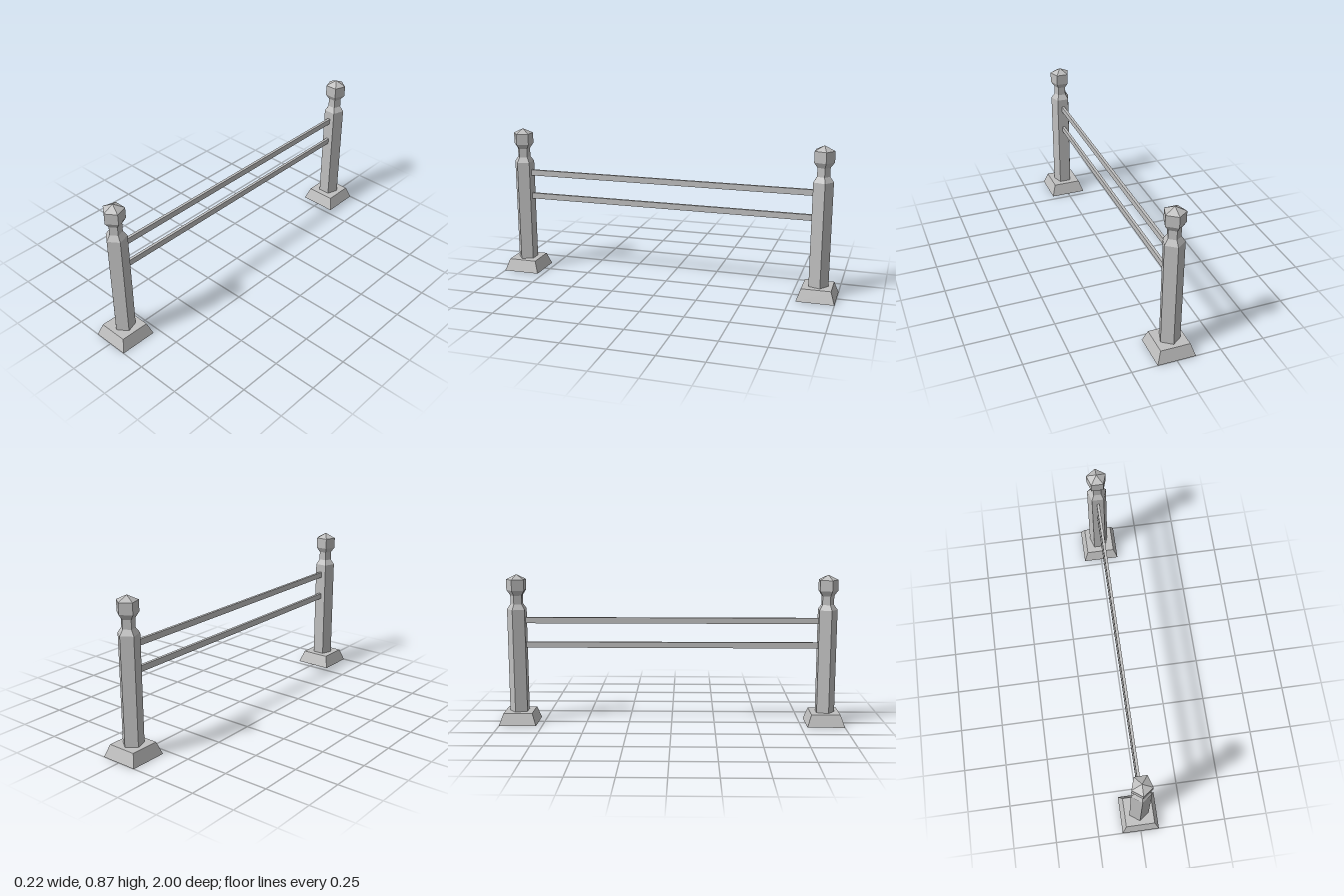
import * as THREE from 'three';

const stone = new THREE.MeshStandardMaterial({ color: 0xc0c0c0 });
stone.name = 'plainGrey';

const POST_Z = 0.8925;

function addMesh(parent, name, geometry) {
  // Split vertices so every facet keeps its own flat normal
  const geo = geometry.index ? geometry.toNonIndexed() : geometry;
  geo.computeVertexNormals();
  const mesh = new THREE.Mesh(geo, stone);
  mesh.name = name;
  parent.add(mesh);
  return mesh;
}

// Five-sided turned post on a square tapered foot, one corner facing outward (+z)
function createPost(name) {
  const post = new THREE.Group();
  post.name = name;

  const foot = new THREE.CylinderGeometry(0.0835 * Math.SQRT2, 0.1075 * Math.SQRT2, 0.07, 4);
  foot.rotateY(Math.PI / 4);
  foot.translate(0, 0.035, 0);
  addMesh(post, 'foot', foot);

  const lathe = (points) =>
    new THREE.LatheGeometry(points.map(([r, y]) => new THREE.Vector2(r, y)), 5);
  addMesh(post, 'shaft', lathe([[0.0595, 0.07], [0.0595, 0.67], [0.038, 0.70]]));
  addMesh(post, 'neck', lathe([[0.038, 0.70], [0.038, 0.75]]));
  addMesh(post, 'finial', lathe([[0.038, 0.75], [0.0595, 0.78], [0.0595, 0.842], [0, 0.871]]));
  return post;
}

export function createModel() {
  const fence = new THREE.Group();
  fence.name = 'railFence';

  const front = createPost('frontPost');
  front.position.z = POST_Z;
  const back = createPost('backPost');
  back.position.z = -POST_Z;
  back.rotation.y = Math.PI;
  fence.add(front, back);

  // Two thin rails running between the flat inner faces of the posts
  for (const [name, y] of [['upperRail', 0.605], ['lowerRail', 0.462]]) {
    addMesh(fence, name, new THREE.BoxGeometry(0.016, 0.034, 1.69)).position.y = y;
  }
  return fence;
}
